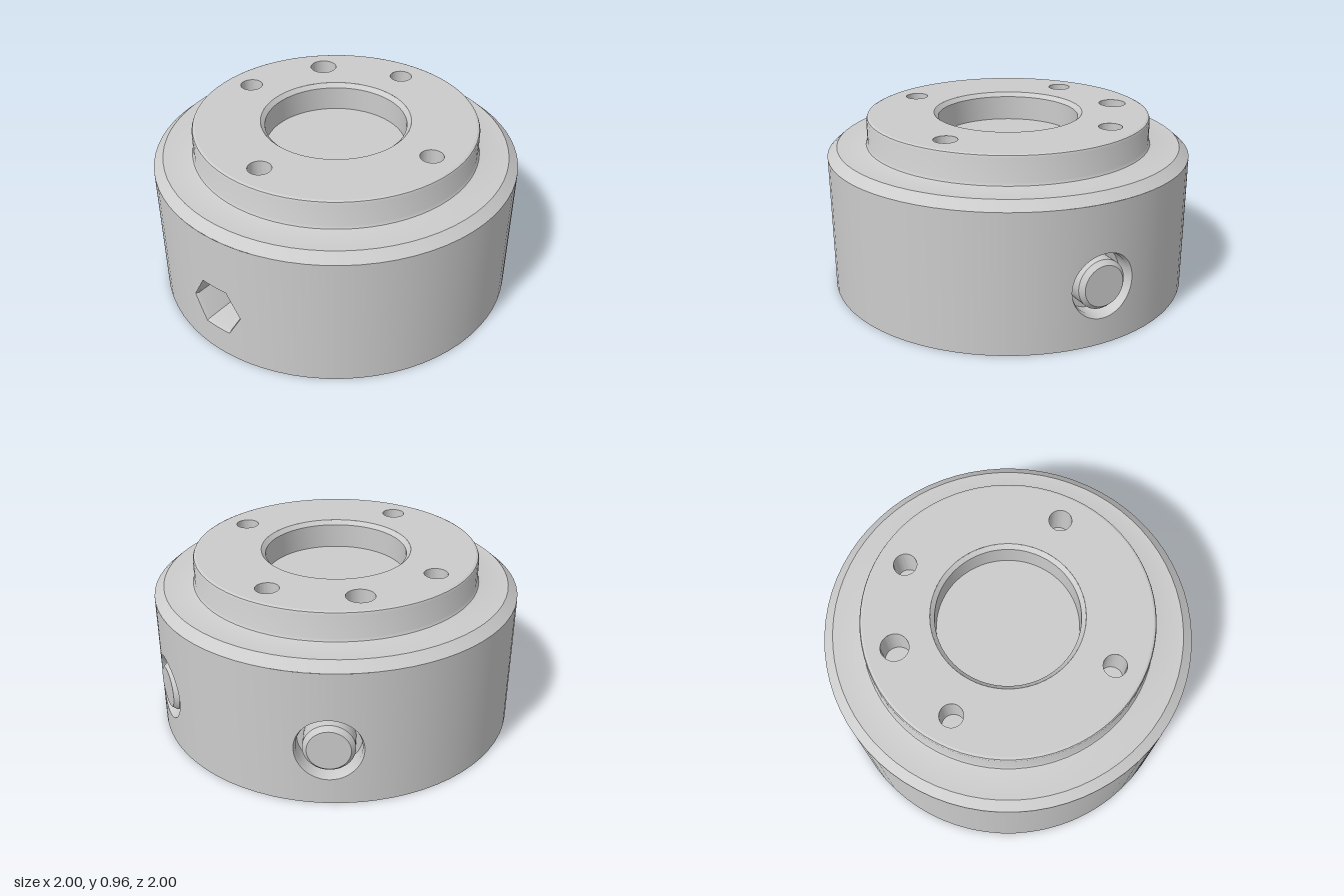
import * as THREE from 'three';
import { toCreasedNormals } from 'three/addons/utils/BufferGeometryUtils.js';

const SEG = 72;      // sides of the round body
const N = 48;        // points around each side opening
const WALL_TOP = 0.755, SHOULDER = 0.8, TOP = 0.96;
const rad = THREE.MathUtils.degToRad;
const phi = (i) => -Math.PI * 0.75 + (i / N) * Math.PI * 2;
const material = new THREE.MeshStandardMaterial({ color: 0xcccccc });

function add(parent, name, geometry) {
  const mesh = new THREE.Mesh(geometry, material);
  mesh.name = name;
  parent.add(mesh);
  return mesh;
}

// Turned part from [radius, height] pairs, with sharp edges kept
function turned(points, segments = SEG) {
  const profile = points.map(([r, y]) => new THREE.Vector2(r, y));
  return toCreasedNormals(new THREE.LatheGeometry(profile, segments), 0.6);
}

// Skin between successive closed loops of N points
function loft(loops) {
  const pos = [];
  for (let k = 0; k < loops.length - 1; k++) {
    const a = loops[k], b = loops[k + 1];
    for (let i = 0; i < N; i++) {
      const j = (i + 1) % N;
      pos.push(...a[i], ...a[j], ...b[i], ...a[j], ...b[j], ...b[i]);
    }
  }
  const geometry = new THREE.BufferGeometry();
  geometry.setAttribute('position', new THREE.Float32BufferAttribute(pos, 3));
  geometry.computeVertexNormals();
  return geometry;
}

// Outline radius at a polar angle: circle or hexagon with corners at the sides
const circle = (r) => () => r;
const hexagon = (r) => (p) => {
  const sector = Math.PI / 3;
  const q = ((p % sector) + sector) % sector;
  return (r * Math.cos(sector / 2)) / Math.cos(q - sector / 2);
};

// Wall panel facing +z with an opening: offsets from and to are its edge angles
function openPanel(outline, cy, from, to) {
  const steps = 8;
  const loops = [];
  for (let k = 0; k <= steps; k++) {
    const loop = [];
    for (let i = 0; i < N; i++) {
      const p = phi(i), c = Math.cos(p), s = Math.sin(p);
      const m = Math.max(Math.abs(c), Math.abs(s)), r = outline(p);
      const t = k / steps;
      const angle = THREE.MathUtils.lerp(from + (to - from) * (c / m + 1) / 2, Math.asin(r * c), t);
      const y = THREE.MathUtils.lerp(WALL_TOP * (s / m + 1) / 2, cy + r * s, t);
      loop.push([Math.sin(angle), y, Math.cos(angle)]);
    }
    loops.push(loop);
  }
  const geometry = loft(loops);
  const pos = geometry.attributes.position, normal = geometry.attributes.normal;
  for (let i = 0; i < pos.count; i++) normal.setXYZ(i, pos.getX(i), 0, pos.getZ(i));
  return geometry;
}

// Recess behind an opening: first ring follows the round wall, the rest are flat
function recess(rings, cy) {
  const loops = rings.map(([outline, z]) => Array.from({ length: N }, (_, i) => {
    const p = phi(i), r = outline(p), x = r * Math.cos(p);
    return [x, cy + r * Math.sin(p), z ?? Math.sqrt(1 - x * x)];
  }));
  return toCreasedNormals(loft(loops), 0.5);
}

export function createModel() {
  const model = new THREE.Group();
  model.name = 'flangedHub';

  // Round body: underside, plain wall sections, bevelled shoulder and raised boss
  add(model, 'underside', turned([[0, 0], [1, 0]]));
  for (const [from, to] of [[15, 135], [165, 195], [225, 345]]) {
    const wall = new THREE.CylinderGeometry(1, 1, WALL_TOP, (to - from) / 5, 1, true,
      rad(from), rad(to - from));
    add(model, 'bodyWall', wall).position.y = WALL_TOP / 2;
  }
  add(model, 'shoulderAndBoss', turned([
    [1, WALL_TOP], [0.947, SHOULDER], [0.8, SHOULDER], [0.788, 0.805], [0.78, 0.82],
    [0.78, 0.943], [0.775, 0.955], [0.763, TOP],
  ]));

  // Boss face with the central bore and five small holes
  const holes = [[0, 0.62, 0.0625], [0, -0.62, 0.0625], [0.62, 0, 0.0625], [-0.62, 0, 0.0625],
    [-0.435, -0.435, 0.075]];
  const face = new THREE.Shape().absarc(0, 0, 0.763, 0, Math.PI * 2);
  for (const [x, z, r] of [[0, 0, 0.41], ...holes]) {
    face.holes.push(new THREE.Path().absarc(x, -z, r, 0, Math.PI * 2, true));
  }
  const faceGeometry = new THREE.ShapeGeometry(face, SEG);
  faceGeometry.rotateX(-Math.PI / 2);
  add(model, 'bossFace', faceGeometry).position.y = TOP;
  add(model, 'centralBore', turned([[0.41, TOP], [0.387, TOP - 0.023], [0.387, SHOULDER], [0, SHOULDER]]));
  for (const [x, z, r] of holes) {
    add(model, 'faceHole', turned([[r, TOP], [r, 0.76], [0, 0.76]])).position.set(x, 0, z);
  }

  // Hexagonal socket at the front
  const socket = new THREE.Group();
  socket.name = 'hexSocket';
  model.add(socket);
  add(socket, 'socketPanel', openPanel(hexagon(0.16), 0.3, rad(-15), rad(15)));
  add(socket, 'socketRecess', recess([
    [hexagon(0.16)], [hexagon(0.15), 0.972], [hexagon(0.15), 0.6], [circle(0), 0.6],
  ], 0.3));

  // Two round pockets at the back, each with a bevelled stud
  for (const side of [-1, 1]) {
    const tilt = 31.7, cy = 0.32;
    const pocket = new THREE.Group();
    pocket.name = side > 0 ? 'leftStudPocket' : 'rightStudPocket';
    pocket.rotation.y = Math.PI - side * rad(tilt);
    model.add(pocket);
    const edges = [side * (tilt - 45), side * (tilt - 15)].sort((a, b) => a - b).map(rad);
    add(pocket, 'pocketPanel', openPanel(circle(0.175), cy, ...edges));
    add(pocket, 'pocketRecess', recess([
      [circle(0.175)], [circle(0.165), 0.965], [circle(0.165), 0.88], [circle(0), 0.88],
    ], cy));
    const stud = add(pocket, 'stud', turned([[0.132, 0.87], [0.132, 0.975], [0.11, 1], [0, 1]], N));
    stud.rotation.x = Math.PI / 2;
    stud.position.y = cy;
  }
  return model;
}
